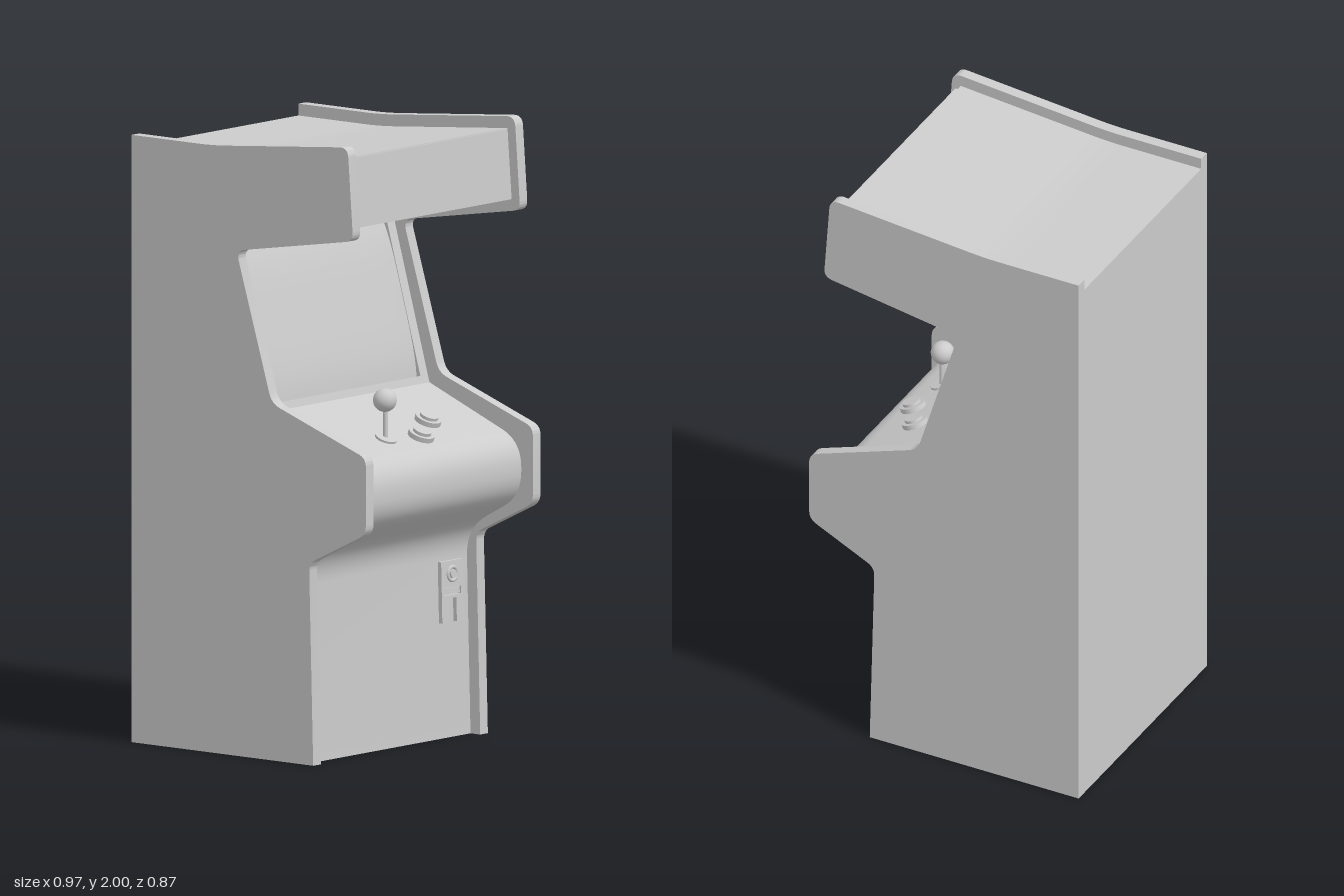
import * as THREE from 'three';
import { toCreasedNormals } from 'three/addons/utils/BufferGeometryUtils.js';

const material = new THREE.MeshStandardMaterial({ color: 0xcccccc });

function add(parent, name, geometry, x = 0, y = 0, z = 0) {
  const mesh = new THREE.Mesh(geometry, material);
  mesh.name = name;
  mesh.position.set(x, y, z);
  parent.add(mesh);
  return mesh;
}

// Closed outline from [x, y, corner trim] points
function outline(points) {
  const shape = new THREE.Shape();
  const n = points.length;
  points.forEach(([x, y, trim = 0], i) => {
    const p = new THREE.Vector2(x, y);
    const toward = (q) => new THREE.Vector2(q[0], q[1]).sub(p).setLength(trim).add(p);
    const a = toward(points[(i + n - 1) % n]);
    const b = toward(points[(i + 1) % n]);
    if (i === 0) shape.moveTo(a.x, a.y);
    else shape.lineTo(a.x, a.y);
    if (trim) shape.quadraticCurveTo(x, y, b.x, b.y);
  });
  return shape;
}

function extrude(shape, depth, z0 = 0) {
  const geo = new THREE.ExtrudeGeometry(shape, { depth, bevelEnabled: false, curveSegments: 10 });
  geo.translate(0, 0, z0);
  return toCreasedNormals(geo, 0.5);
}

function rect(Type, x0, y0, x1, y1) {
  return new Type([[x0, y0], [x1, y0], [x1, y1], [x0, y1]].map(([x, y]) => new THREE.Vector2(x, y)));
}

// Group lying on a face of the cabinet: local y runs from a to b, local z points out
function faceGroup(parent, name, a, b) {
  const up = new THREE.Vector3(b[0] - a[0], b[1] - a[1], 0).normalize();
  const out = new THREE.Vector3(up.y, -up.x, 0);
  const group = new THREE.Group();
  group.name = name;
  group.matrix.makeBasis(new THREE.Vector3(0, 0, -1), up, out).setPosition(a[0], a[1], 0);
  group.matrix.decompose(group.position, group.quaternion, group.scale);
  parent.add(group);
  return group;
}

export function createModel() {
  const model = new THREE.Group();
  model.name = 'arcadeCabinet';
  const inner = 0.395, thick = 0.038;

  // Side panels
  const side = outline([
    [-0.487, 0], [0.265, 0], [0.248, 0.65, 0.03], [0.483, 0.765, 0.03], [0.483, 1.01, 0.03],
    [0.093, 1.148, 0.035], [-0.053, 1.625, 0.035], [0.43, 1.703, 0.03], [0.408, 2.003, 0.035],
    [-0.15, 1.953, 0.06], [-0.487, 1.953],
  ]);
  add(model, 'leftSidePanel', extrude(side, thick, inner));
  add(model, 'rightSidePanel', extrude(side, thick, -inner - thick));

  // Cabinet body between the panels, with a recess behind the screen
  const screenLow = [0.055, 1.112], screenHigh = [-0.1, 1.655];
  const kickLow = [0.225, 0], kickHigh = [0.208, 0.66];
  const noseTop = [0.435, 0.96], signLow = [0.395, 1.735], signHigh = [0.378, 1.962];
  const body = outline([
    [-0.487, 0], kickLow, [...kickHigh, 0.09], [0.435, 0.785, 0.08], [...noseTop, 0.085],
    screenLow, [0.026, 1.104], [-0.129, 1.647], screenHigh,
    signLow, signHigh, [-0.15, 1.915, 0.06], [-0.487, 1.915],
  ]);
  add(model, 'cabinetBody', extrude(body, inner * 2, -inner));

  // Marquee
  const sign = faceGroup(model, 'marquee', signLow, signHigh);
  add(sign, 'marqueePanel', new THREE.BoxGeometry(0.755, 0.222, 0.012), 0, 0.114, 0.004);

  // Screen: bezel with an opening and a bulged glass
  const screen = faceGroup(model, 'screen', screenLow, screenHigh);
  const bezel = rect(THREE.Shape, -inner, 0, inner, 0.565);
  bezel.holes.push(rect(THREE.Path, -0.358, 0.025, 0.358, 0.54));
  add(screen, 'screenBezel', extrude(bezel, 0.03, -0.03));
  const glass = new THREE.PlaneGeometry(0.716, 0.515, 20, 16);
  const pos = glass.attributes.position;
  for (let i = 0; i < pos.count; i++) {
    const a = pos.getX(i) / 0.358, b = pos.getY(i) / 0.2575;
    pos.setZ(i, 0.012 - 0.014 * (a ** 4 + b ** 4));
  }
  glass.computeVertexNormals();
  add(screen, 'screenGlass', glass, 0, 0.2825, 0);

  // Control panel: buttons and joystick base
  const controls = faceGroup(model, 'controls', noseTop, screenLow);
  const disc = (name, r, h, x, y, z) =>
    add(controls, name, new THREE.CylinderGeometry(r, r, h, 32).rotateX(Math.PI / 2), x, y, z);
  [[0.035, 0.125], [0.152, 0.2]].forEach(([x, y], i) => {
    const name = i ? 'rearButton' : 'frontButton';
    disc(name + 'Ring', 0.043, 0.02, x, y, 0.006);
    disc(name + 'Cap', 0.03, 0.014, x, y, 0.019);
  });
  disc('joystickBase', 0.036, 0.01, -0.11, 0.15, 0.002);

  // Joystick
  add(model, 'joystickStick', new THREE.CylinderGeometry(0.008, 0.008, 0.14, 16), 0.295, 1.07, 0.11);
  add(model, 'joystickBall', new THREE.SphereGeometry(0.038, 32, 20), 0.292, 1.14, 0.11);

  // Coin door with a notch below and raised details
  const coin = faceGroup(model, 'coinDoor', kickLow, kickHigh);
  const plate = outline([
    [0.25, 0.37], [0.286, 0.37], [0.286, 0.447], [0.322, 0.447], [0.322, 0.37], [0.358, 0.37],
    [0.358, 0.567], [0.25, 0.567],
  ]);
  plate.holes.push(rect(THREE.Path, 0.262, 0.457, 0.346, 0.481));
  add(coin, 'coinPlate', extrude(plate, 0.016, -0.002));
  add(coin, 'coinSlotBar', new THREE.BoxGeometry(0.08, 0.02, 0.012), 0.304, 0.469, 0.004);
  add(coin, 'coinButtonRing', new THREE.TorusGeometry(0.022, 0.006, 10, 28), 0.304, 0.525, 0.014);
  add(coin, 'coinButton', new THREE.CylinderGeometry(0.014, 0.014, 0.012, 24).rotateX(Math.PI / 2),
    0.304, 0.525, 0.015);

  return model;
}
